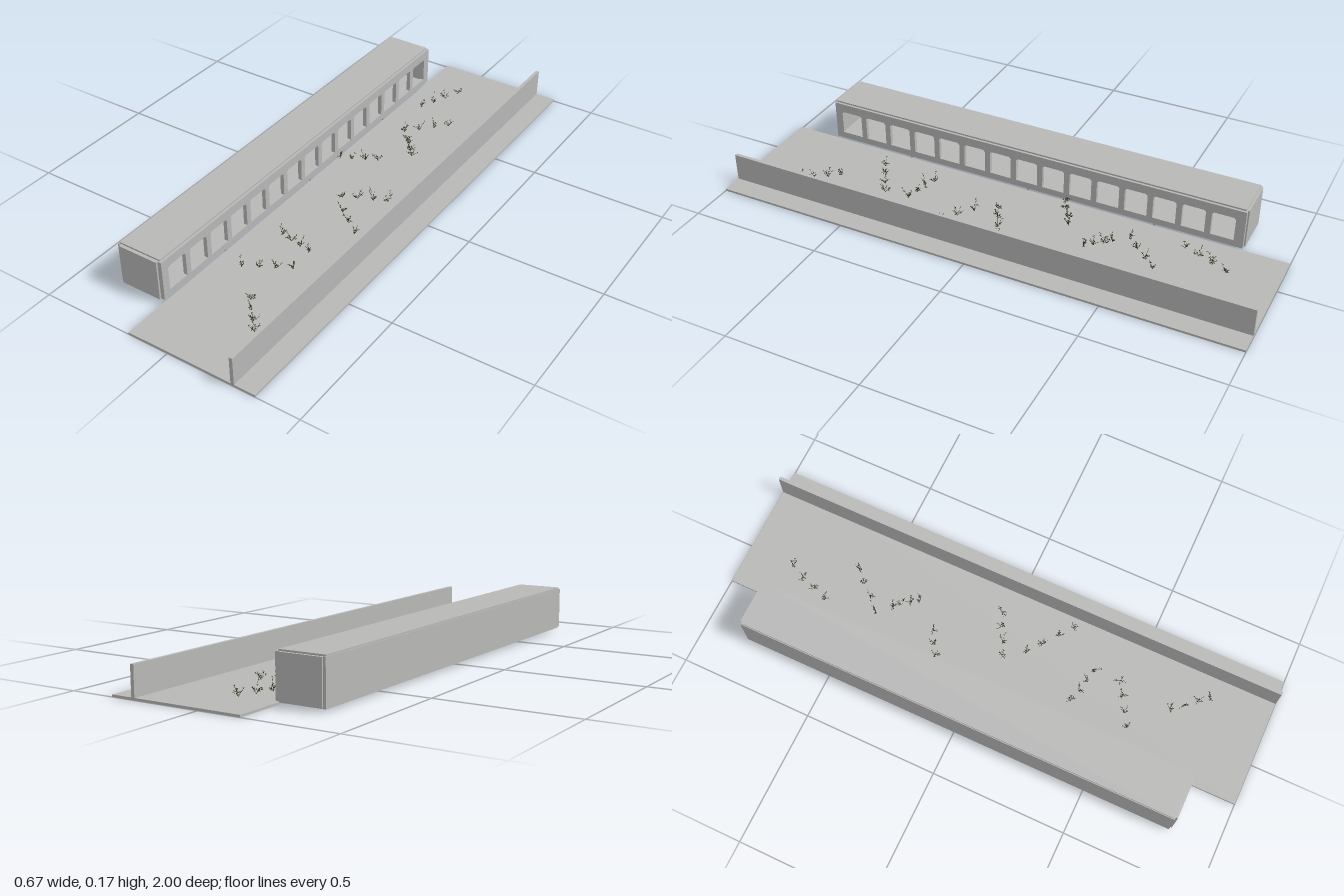
import * as THREE from 'three';
import { mergeGeometries } from 'three/addons/utils/BufferGeometryUtils.js';

export function createModel() {
  const model = new THREE.Group();
  const concrete = new THREE.MeshStandardMaterial({ color: 0xb8b8b7 });
  concrete.name = 'concrete grey';
  const foliage = new THREE.MeshStandardMaterial({ color: 0x39371f, side: THREE.DoubleSide });
  foliage.name = 'dark olive';

  // Box given by its lower and upper limits
  function box(name, parent, x0, x1, y0, y1, z0, z1) {
    const mesh = new THREE.Mesh(new THREE.BoxGeometry(x1 - x0, y1 - y0, z1 - z0), concrete);
    mesh.position.set((x0 + x1) / 2, (y0 + y1) / 2, (z0 + z1) / 2);
    mesh.name = name;
    parent.add(mesh);
  }

  // Ground slab with its long barrier wall
  box('groundSlab', model, -0.157, 0.337, 0, 0.008, -1, 1);
  box('barrierWall', model, 0.246, 0.259, 0.008, 0.112, -1, 1);

  // Gallery shell
  const gallery = new THREE.Group();
  gallery.name = 'gallery';
  model.add(gallery);
  box('galleryFloor', gallery, -0.334, -0.166, 0.01, 0.017, -0.825, 0.82);
  box('galleryRoof', gallery, -0.334, -0.166, 0.165, 0.172, -0.825, 0.82);
  box('backWall', gallery, -0.337, -0.327, 0.015, 0.166, -0.83, 0.825);
  box('frontEndWall', gallery, -0.327, -0.172, 0.015, 0.166, 0.82, 0.832);
  box('rearEndWall', gallery, -0.327, -0.172, 0.015, 0.166, -0.835, -0.823);

  // Window wall: fifteen openings with clipped upper corners
  const wall = new THREE.Shape();
  wall.moveTo(-0.83, 0.015).lineTo(0.825, 0.015).lineTo(0.825, 0.166).lineTo(-0.83, 0.166);
  const bays = 15, pitch = 0.1075, half = 0.043, cut = 0.007;
  for (let i = 0; i < bays; i++) {
    const c = (i - (bays - 1) / 2) * pitch;
    const hole = new THREE.Path();
    hole.moveTo(c - half, 0.04).lineTo(c - half, 0.132 - cut).lineTo(c - half + cut, 0.132);
    hole.lineTo(c + half - cut, 0.132).lineTo(c + half, 0.132 - cut).lineTo(c + half, 0.04);
    wall.holes.push(hole);
  }
  const wallGeometry = new THREE.ExtrudeGeometry(wall, { depth: 0.015, bevelEnabled: false });
  wallGeometry.rotateY(-Math.PI / 2);
  const windowWall = new THREE.Mesh(wallGeometry, concrete);
  windowWall.position.x = -0.157;
  windowWall.name = 'windowWall';
  gallery.add(windowWall);

  // Seeded random numbers for the weeds
  let seed = 7;
  const random = () => (seed = (seed * 16807) % 2147483647) / 2147483647;
  const spread = (a) => (random() * 2 - 1) * a;

  // One small pointed leaf
  const leafShape = new THREE.Shape();
  leafShape.moveTo(0, 0).lineTo(0.0014, 0.003).lineTo(0, 0.0075).lineTo(-0.0014, 0.003);
  const leaf = new THREE.ShapeGeometry(leafShape).toNonIndexed();
  const place = new THREE.Object3D();

  // A weed: leaning stems carrying leaves, thickest near the ground
  function weed() {
    const parts = [];
    const addLeaf = (p) => {
      place.position.copy(p);
      place.rotation.set(spread(1.4), spread(Math.PI), spread(1.4));
      place.scale.setScalar(0.6 + random() * 0.6);
      place.updateMatrix();
      parts.push(leaf.clone().applyMatrix4(place.matrix));
    };
    for (let s = 0; s < 7; s++) {
      const angle = random() * Math.PI * 2;
      const reach = 0.006 + random() * 0.017;
      const height = s === 0 ? 0.025 + random() * 0.03 : 0.01 + random() * 0.018;
      const tip = new THREE.Vector3(Math.cos(angle) * reach, height, Math.sin(angle) * reach);
      const bend = new THREE.Vector3(tip.x * 0.35, height * 0.6, tip.z * 0.35);
      const curve = new THREE.QuadraticBezierCurve3(new THREE.Vector3(), bend, tip);
      parts.push(new THREE.TubeGeometry(curve, 4, 0.0004, 3).toNonIndexed());
      for (let k = 0; k < 6; k++) addLeaf(curve.getPoint(0.35 + 0.65 * random()));
    }
    return mergeGeometries(parts);
  }

  // Rows of weeds growing along cracks: start x, z and end x, z
  const weeds = new THREE.Group();
  weeds.name = 'weeds';
  model.add(weeds);
  const cracks = [
    [-0.01, -0.82, -0.08, -0.65], [0.08, -0.59, -0.04, -0.46], [0.0, -0.41, 0.07, -0.33],
    [-0.02, -0.235, -0.145, -0.165], [0.15, -0.035, 0.0, 0.035], [0.05, 0.11, 0.205, 0.23],
    [-0.05, 0.33, 0.085, 0.365], [0.09, 0.46, -0.06, 0.55], [0.065, 0.665, 0.17, 0.78],
  ];
  cracks.forEach(([x0, z0, x1, z1]) => {
    for (let i = 0; i < 4; i++) {
      const t = i / 3;
      const plant = new THREE.Mesh(weed(), foliage);
      plant.position.set(x0 + (x1 - x0) * t, 0.008, z0 + (z1 - z0) * t);
      plant.name = 'weed';
      weeds.add(plant);
    }
  });
  return model;
}
